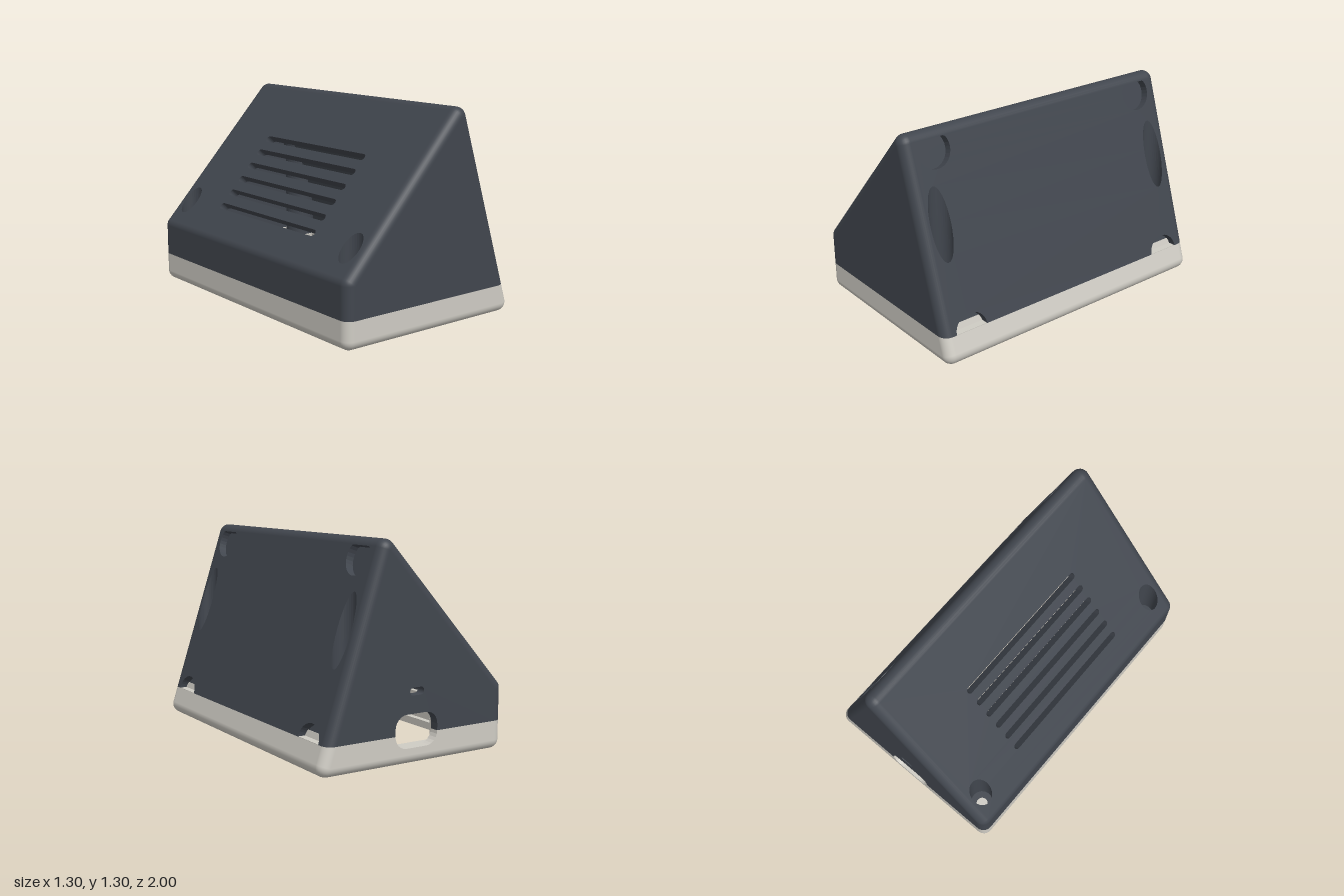
import * as THREE from 'three';

const R = 0.06, SPLIT = 0.18, SEG = 8, WALL = 0.06;

// Sharp side profile, counter-clockwise: edges 0 bottom, 1 steep, 2 sloped, 3 back wall
const V = [[-0.65, 0], [0.67, 0], [0.225, 1.36], [-0.65, 0.4]].map(p => new THREE.Vector2(...p));
const N = V.map((v, i) => {
  const d = V[(i + 1) % 4].clone().sub(v).normalize();
  return new THREE.Vector2(d.y, -d.x);
});
// Fillet centres
const C = V.map((v, i) => {
  const a = N[(i + 3) % 4], b = N[i];
  return v.clone().addScaledVector(a.clone().add(b), -R / (1 + a.dot(b)));
});

// Point at height y on edge i offset by d from the fillet centres
function edgeAt(i, d, y) {
  const p = C[i].clone().addScaledVector(N[i], d);
  return [p.x - N[i].y * (y - p.y) / N[i].x, y];
}

// Open outline from one edge around two filleted corners to another: [x, y, nx, ny]
function outline(d, start, corners, end) {
  const pts = [[...edgeAt(start, d, SPLIT), N[start].x, N[start].y]];
  for (const c of corners) {
    const a0 = N[(c + 3) % 4].angle();
    const da = (N[c].angle() - a0 + Math.PI * 2) % (Math.PI * 2);
    for (let k = 0; k <= SEG; k++) {
      const a = a0 + da * k / SEG, x = Math.cos(a), y = Math.sin(a);
      pts.push([C[c].x + d * x, C[c].y + d * y, x, y]);
    }
  }
  pts.push([...edgeAt(end, d, SPLIT), N[end].x, N[end].y]);
  return pts;
}

// Rounded outer skin; the listed flat panels are left open for separate plates
function skin(start, corners, end, skip) {
  const pos = [], nor = [], idx = [];
  const w = 2 * SEG + 4, rings = 2 * SEG + 2;
  for (let j = 0; j < rings; j++) {
    const side = j <= SEG ? -1 : 1;
    const t = (j <= SEG ? j : rings - 1 - j) / SEG * Math.PI / 2;
    for (const [x, y, nx, ny] of outline(R * Math.sin(t), start, corners, end)) {
      pos.push(x, y, side * (1 - R + R * Math.cos(t)));
      nor.push(nx * Math.sin(t), ny * Math.sin(t), side * Math.cos(t));
    }
  }
  for (let j = 0; j < rings - 1; j++) for (let i = 0; i < w - 1; i++) {
    if (j === SEG && skip.includes(i)) continue;
    const a = j * w + i, b = a + w;
    idx.push(a, a + 1, b, a + 1, b + 1, b);
  }
  const g = new THREE.BufferGeometry();
  g.setAttribute('position', new THREE.Float32BufferAttribute(pos, 3));
  g.setAttribute('normal', new THREE.Float32BufferAttribute(nor, 3));
  g.setIndex(idx);
  return g;
}

// Point loops
const ellipse = (cx, cy, rx, ry, from = 0, span = Math.PI * 2, n = 32) =>
  Array.from({ length: n + 1 }, (_, k) => {
    const a = from + span * k / n;
    return [cx + rx * Math.cos(a), cy + ry * Math.sin(a)];
  });
function roundRect(cx, cy, w, h, r) {
  return [[1, 1], [-1, 1], [-1, -1], [1, -1]].flatMap(([sx, sy], q) =>
    ellipse(cx + sx * (w / 2 - r), cy + sy * (h / 2 - r), r, r, q * Math.PI / 2, Math.PI / 2, 6));
}

export function createModel() {
  const model = new THREE.Group();
  const dark = new THREE.MeshStandardMaterial({ color: 0x41464e, side: THREE.DoubleSide });
  dark.name = 'charcoal';
  const light = new THREE.MeshStandardMaterial({ color: 0xcfccc4, side: THREE.DoubleSide });
  light.name = 'warm grey';
  const add = (name, geo, mat, parent = model) => {
    const m = new THREE.Mesh(geo, mat);
    m.name = name;
    parent.add(m);
    return m;
  };
  const box = (name, x0, x1, y0, y1, z0, z1, mat) =>
    add(name, new THREE.BoxGeometry(x1 - x0, y1 - y0, z1 - z0), mat)
      .position.set((x0 + x1) / 2, (y0 + y1) / 2, (z0 + z1) / 2);

  // Strip joining a polyline to its copy on the inner side of a plate
  function cutWall(pts, shift, wall) {
    const pos = [];
    for (let i = 0; i < pts.length - 1; i++) {
      const [a, b] = [pts[i], pts[i + 1]];
      const A = [a[0], a[1], 0], B = [b[0], b[1], 0];
      const a2 = [a[0], a[1] + shift, -wall], b2 = [b[0], b[1] + shift, -wall];
      pos.push(...A, ...B, ...a2, ...B, ...b2, ...a2);
    }
    const g = new THREE.BufferGeometry();
    g.setAttribute('position', new THREE.Float32BufferAttribute(pos, 3));
    g.computeVertexNormals();
    return g;
  }

  // Wall plate with through holes {pts, shift} and open edge cuts
  function plate(name, frame, edge, holes, cuts, wall, mat) {
    const g = new THREE.Group();
    g.name = name;
    g.applyMatrix4(frame);
    model.add(g);
    for (const inner of [0, 1]) {
      const s = new THREE.Shape(edge.map(p => new THREE.Vector2(...p)));
      for (const h of holes)
        s.holes.push(new THREE.Path(h.pts.map(p => new THREE.Vector2(p[0], p[1] + inner * (h.shift || 0)))));
      add(inner ? 'innerFace' : 'outerFace', new THREE.ShapeGeometry(s).translate(0, 0, -wall * inner), mat, g);
    }
    for (const h of holes) add('holeWall', cutWall([...h.pts, h.pts[0]], h.shift || 0, wall), mat, g);
    for (const c of cuts) add('cutWall', cutWall(c, 0, wall), mat, g);
    return g;
  }

  const vec = (x, y, z) => new THREE.Vector3(x, y, z);
  const frameOf = (u, v, n, o) => new THREE.Matrix4().makeBasis(u, v, n).setPosition(o);

  // Rounded skins of the cover and the base
  add('coverSkin', skin(1, [2, 3], 3, [0, SEG + 1]), dark);
  add('baseSkin', skin(3, [0, 1], 1, [SEG + 1]), light);

  // Flat panel description: origin at its low edge, T up along it
  function panel(n, low, high, dir) {
    const T = high.clone().sub(low), len = T.length();
    T.normalize();
    return {
      n, low, T, len, shift: -WALL * T.y / n.y,
      frame: frameOf(vec(0, 0, dir), vec(T.x, T.y, 0), vec(n.x, n.y, 0), vec(low.x, low.y, 0)),
      sAt: x => (x - low.x) / T.x,
      yAt: (x, inset) => low.y + (x - low.x) * T.y / T.x - inset / n.y,
    };
  }
  const slope = panel(N[2], C[3].clone().addScaledVector(N[2], R), C[2].clone().addScaledVector(N[2], R), 1);
  const steep = panel(N[1], new THREE.Vector2(...edgeAt(1, R, SPLIT)), C[2].clone().addScaledVector(N[1], R), -1);
  const Z = 1 - R;
  const boreHoles = (p, x) => [-0.86, 0.86].map(z =>
    ({ pts: ellipse(z, p.sAt(x), 0.07, 0.07 / Math.abs(p.T.x)).slice(0, -1), shift: p.shift }));

  // Sloped panel with six vent slots and two screw bores
  const slots = [];
  for (let k = 0; k < 6; k++) {
    const w = 0.03 / slope.T.x;
    slots.push({ pts: roundRect(0, slope.sAt(-0.495 + 0.075 * k), 1.02, w, w * 0.49) });
  }
  plate('ventPanel', slope.frame, [[-Z, 0], [Z, 0], [Z, slope.len], [-Z, slope.len]],
    [...slots, ...boreHoles(slope, -0.51)], [], WALL, dark);

  // Steep panel with round pockets in its corners and two screw bores
  const pocketS = (1.195 - SPLIT) / steep.T.y;
  const pockets = [-0.8, 0.8].map(z => ({
    pts: ellipse(z, pocketS, 0.11, 0.11).slice(0, -1).map(p => [p[0], Math.min(p[1], steep.len - 0.002)]),
  }));
  const notches = [-0.8, 0.8].map(z => ellipse(z, 0, 0.11, 0.1, Math.PI, -Math.PI, 20));
  const steepPlate = plate('steepPanel', steep.frame,
    [[-Z, 0], ...notches[0], ...notches[1], [Z, 0], [Z, steep.len], [-Z, steep.len]],
    [...pockets, ...boreHoles(steep, 0.41)], notches, WALL, dark);
  for (const z of [-0.8, 0.8]) {
    add('pocketFloor', new THREE.CircleGeometry(0.11, 32).translate(z, pocketS, -0.05), dark, steepPlate);
    add('lowerPocketFloor', new THREE.CircleGeometry(0.11, 20, 0, Math.PI).translate(z, 0, -0.05), dark, steepPlate);
  }
  add('steepLip', new THREE.BoxGeometry(1.84, 0.15, 0.02).translate(0, -0.022, -0.055), light, steepPlate);

  // End walls, the rear one with a port opening and a small slot
  const port = roundRect(0, 0.2, 0.3, 0.2, 0.08);
  const portTop = [[-0.15, SPLIT], ...port.slice(0, 14).reverse(), [0.15, SPLIT]];
  const portBottom = [[0.15, SPLIT], ...port.slice(14).reverse(), [-0.15, SPLIT]];
  for (const f of [1, -1]) {
    const frame = frameOf(vec(f, 0, 0), vec(0, 1, 0), vec(0, 0, f), vec(0, 0, f));
    const flip = pts => pts.map(p => [p[0] * f, p[1]]);
    const rear = f < 0;
    const right = edgeAt(1, 0, SPLIT), left = edgeAt(3, 0, SPLIT);
    plate(rear ? 'coverRearEnd' : 'coverFrontEnd', frame,
      flip([right, C[2].toArray(), C[3].toArray(), left, ...(rear ? portTop : [])]),
      rear ? [{ pts: roundRect(0, 0.43, 0.1, 0.046, 0.022) }] : [], rear ? [portTop] : [], WALL, dark);
    plate(rear ? 'baseRearEnd' : 'baseFrontEnd', frame,
      flip([right, ...(rear ? portBottom : []), left, C[0].toArray(), C[1].toArray()]),
      [], rear ? [portBottom] : [], WALL, light);
  }

  // Base floor with a stepped rectangular opening
  const rect = (x0, x1, z) => [[x0, -z], [x1, -z], [x1, z], [x0, z]];
  const floorFrame = y => frameOf(vec(1, 0, 0), vec(0, 0, 1), vec(0, -1, 0), vec(0, y, 0));
  const floorEdge = rect(C[0].x, C[1].x, Z);
  plate('baseFloor', floorFrame(0), floorEdge, [{ pts: rect(-0.56, 0.49, 0.8) }], [], 0.02, light);
  plate('baseLedge', floorFrame(0.02), floorEdge, [{ pts: rect(-0.53, 0.46, 0.77) }], [], 0.04, light);

  // Locating lip and rim inside the base
  box('backLip', -0.6, -0.57, 0.05, 0.23, -0.93, 0.93, light);
  box('frontEndLip', -0.58, 0.53, 0.05, 0.23, 0.915, 0.935, light);
  box('rearEndLip', -0.58, -0.16, 0.05, 0.23, -0.935, -0.915, light);
  box('rearEndLip', 0.16, 0.53, 0.05, 0.23, -0.935, -0.915, light);
  box('steepRim', 0.53, 0.607, 0.16, SPLIT, -0.94, 0.94, light);

  // Vertical screw tubes trimmed to their panel, with posts on the base below
  function tube(name, p, x, z, r, y0, inset) {
    const g = new THREE.CylinderGeometry(r, r, 1, 32, 1, true).translate(x, 0, z);
    const a = g.attributes.position;
    for (let i = 0; i < a.count; i++) a.setY(i, a.getY(i) > 0 ? p.yAt(a.getX(i), inset) : y0);
    add(name, g, dark);
  }
  for (const [p, x] of [[slope, -0.51], [steep, 0.41]]) for (const z of [-0.86, 0.86]) {
    tube('screwBore', p, x, z, 0.07, 0.25, 0.055);
    tube('screwTube', p, x, z, 0.1, 0.2, 0.045);
    for (const [r, y] of [[0.07, 0.25], [0.1, 0.2]])
      add('screwSeat', new THREE.RingGeometry(0.037, r, 32).rotateX(-Math.PI / 2), dark).position.set(x, y, z);
    add('basePost', new THREE.CylinderGeometry(0.09, 0.09, 0.155, 32), light).position.set(x, 0.1175, z);
  }
  return model;
}
